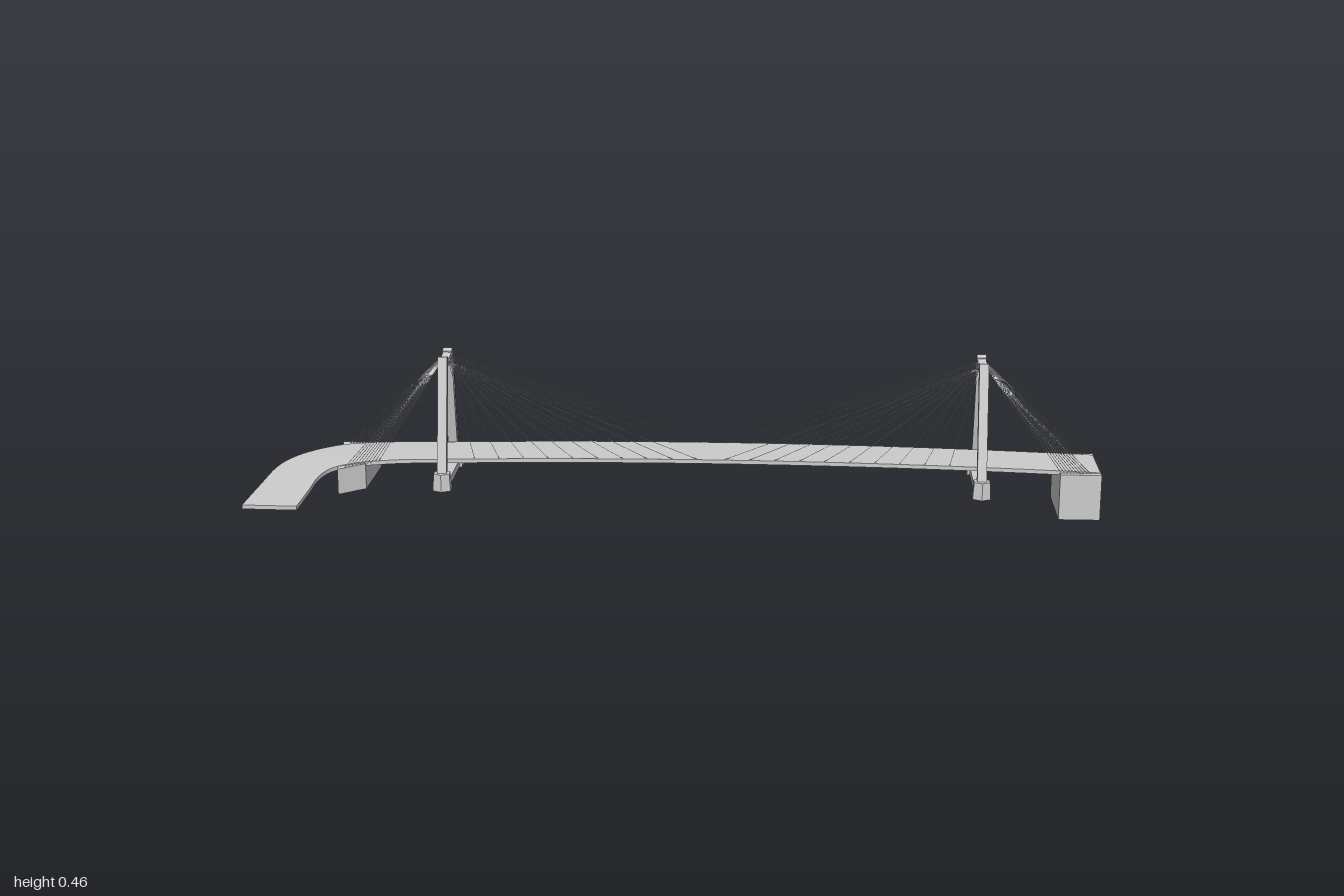
import * as THREE from 'three';

const grey = new THREE.MeshStandardMaterial({ color: 0xcccccc, flatShading: true });
const V = (x, y, z) => new THREE.Vector3(x, y, z);
const HALF = 0.095;      // half deck width
const TOWER = 0.804;     // tower distance from mid-span
const deckY = s => 0.163 - 0.02 * (s / 1.1) ** 2;

function add(parent, name, geo, x = 0, y = 0, z = 0) {
  const m = new THREE.Mesh(geo, grey);
  m.name = name;
  m.position.set(x, y, z);
  parent.add(m);
  return m;
}

// Square or round bar between two points
function bar(parent, name, a, b, geo) {
  const dir = b.clone().sub(a);
  const m = add(parent, name, geo);
  m.position.copy(a).addScaledVector(dir, 0.5);
  m.scale.y = dir.length();
  m.quaternion.setFromUnitVectors(V(0, 1, 0), dir.normalize());
  return m;
}

// Solid slab swept between two edges of top points
function slab(aEdge, bEdge, thick) {
  const pos = [], idx = [], n = aEdge.length;
  for (let i = 0; i < n; i++) {
    const a = aEdge[i], b = bEdge[i];
    pos.push(a.x, a.y, a.z, b.x, b.y, b.z, b.x, b.y - thick, b.z, a.x, a.y - thick, a.z);
  }
  for (let i = 0; i < n - 1; i++) {
    for (let j = 0; j < 4; j++) {
      const A = i * 4 + j, B = i * 4 + (j + 1) % 4;
      idx.push(A, A + 4, B + 4, A, B + 4, B);
    }
  }
  const e = (n - 1) * 4;
  idx.push(0, 1, 2, 0, 2, 3, e, e + 2, e + 1, e, e + 3, e + 2);
  const g = new THREE.BufferGeometry();
  g.setAttribute('position', new THREE.Float32BufferAttribute(pos, 3));
  g.setIndex(idx);
  const flat = g.toNonIndexed();
  flat.computeVertexNormals();
  return flat;
}

// One A-shaped tower, across x
function tower() {
  const g = new THREE.Group();
  g.name = 'tower';
  const legGeo = new THREE.BoxGeometry(0.024, 1, 0.028);
  for (const side of [-1, 1]) {
    const pad = add(g, 'pedestal', new THREE.CylinderGeometry(0.027, 0.031, 0.052, 6), side * 0.126, 0.093, 0);
    pad.rotation.y = Math.PI / 2;
    bar(g, 'leg', V(side * 0.124, 0.1, 0), V(side * 0.046, 0.457, 0), legGeo);
  }
  add(g, 'footBeam', new THREE.BoxGeometry(0.25, 0.022, 0.036), 0, 0.079, 0);
  // Top crossbeam, waisted in the middle
  const s = new THREE.Shape();
  s.moveTo(-0.05, 0.42);
  s.quadraticCurveTo(0, 0.438, 0.05, 0.42);
  s.lineTo(0.05, 0.457);
  s.quadraticCurveTo(0, 0.433, -0.05, 0.457);
  add(g, 'topCrossbeam', new THREE.ExtrudeGeometry(s, { depth: 0.026, bevelEnabled: false, curveSegments: 8 }), 0, 0, -0.013);
  return g;
}

export function createModel() {
  const root = new THREE.Group();
  root.name = 'cableStayedBridge';

  // Bridge frame: z runs along the span, x across it
  const bridge = new THREE.Group();
  bridge.name = 'mainBridge';
  bridge.position.set(0.2, 0, -0.0075);
  bridge.rotation.y = 0.63;
  root.add(bridge);

  // Arched deck
  const left = [], right = [];
  for (let i = 0; i <= 28; i++) {
    const s = -0.84 + (1.995 * i) / 28;
    left.push(V(-HALF, deckY(s), s));
    right.push(V(HALF, deckY(s), s));
  }
  add(bridge, 'deck', slab(left, right, 0.012));

  // Near abutment
  add(bridge, 'nearAbutment', new THREE.BoxGeometry(0.23, 0.139, 0.122), 0, 0.0695, 1.096);

  // Far abutment, a skewed block
  const plan = new THREE.Shape([[-0.318, -0.904], [-0.384, -0.999], [-0.603, -0.793], [-0.51, -0.77]]
    .map(([x, z]) => new THREE.Vector2(x, -z)));
  const block = new THREE.ExtrudeGeometry(plan, { depth: 0.078, bevelEnabled: false });
  block.rotateX(-Math.PI / 2);
  add(root, 'farAbutment', block, 0, 0.065, 0);

  // Curved approach ramp
  const edge = pts => new THREE.CatmullRomCurve3(pts.map(([x, z, y]) => V(x, y, z)), false, 'centripetal').getPoints(36);
  const inner = edge([[-0.885, -0.66, 0.124], [-0.77, -0.733, 0.132], [-0.67, -0.797, 0.139], [-0.6, -0.816, 0.143],
    [-0.53, -0.793, 0.146], [-0.46, -0.738, 0.148], [-0.41, -0.683, 0.15], [-0.372, -0.63, 0.1513]]);
  const outer = edge([[-0.975, -0.79, 0.124], [-0.82, -0.885, 0.132], [-0.69, -0.962, 0.139], [-0.62, -0.985, 0.143],
    [-0.54, -0.991, 0.146], [-0.42, -0.967, 0.147], [-0.324, -0.888, 0.148], [-0.214, -0.745, 0.1513]]);
  add(root, 'approachRamp', slab(inner, outer, 0.012));

  // Towers and stay cables, fanning out from the crossbeam
  const cableGeo = new THREE.CylinderGeometry(0.0007, 0.0007, 1, 4);
  const stayGeo = new THREE.CylinderGeometry(0.001, 0.001, 1, 4);
  const N = 10;
  for (const end of [-1, 1]) {
    const t = tower();
    t.position.z = end * TOWER;
    bridge.add(t);
    for (const side of [-1, 1]) {
      for (let i = 0; i < N; i++) {
        const f = i / (N - 1);
        const top = z => V(side * (0.012 + 0.024 * f), 0.432 + 0.01 * f, end * (TOWER + z));
        const s = end * (0.71 - 0.67 * f);
        bar(bridge, 'mainSpanCable', top(-0.012), V(side * (HALF - 0.004), deckY(s), s), cableGeo);
        // The far left backstays follow the inside of the ramp bend
        const skew = end < 0 && side < 0;
        const foot = skew
          ? V(-0.105 - 0.06 * f, 0.143, -1.0 - 0.09 * f)
          : V(side * 0.1, 0.139, end * (1.04 + 0.085 * f));
        bar(bridge, 'backstayCable', top(0.012), foot, stayGeo);
      }
    }
  }
  return root;
}
